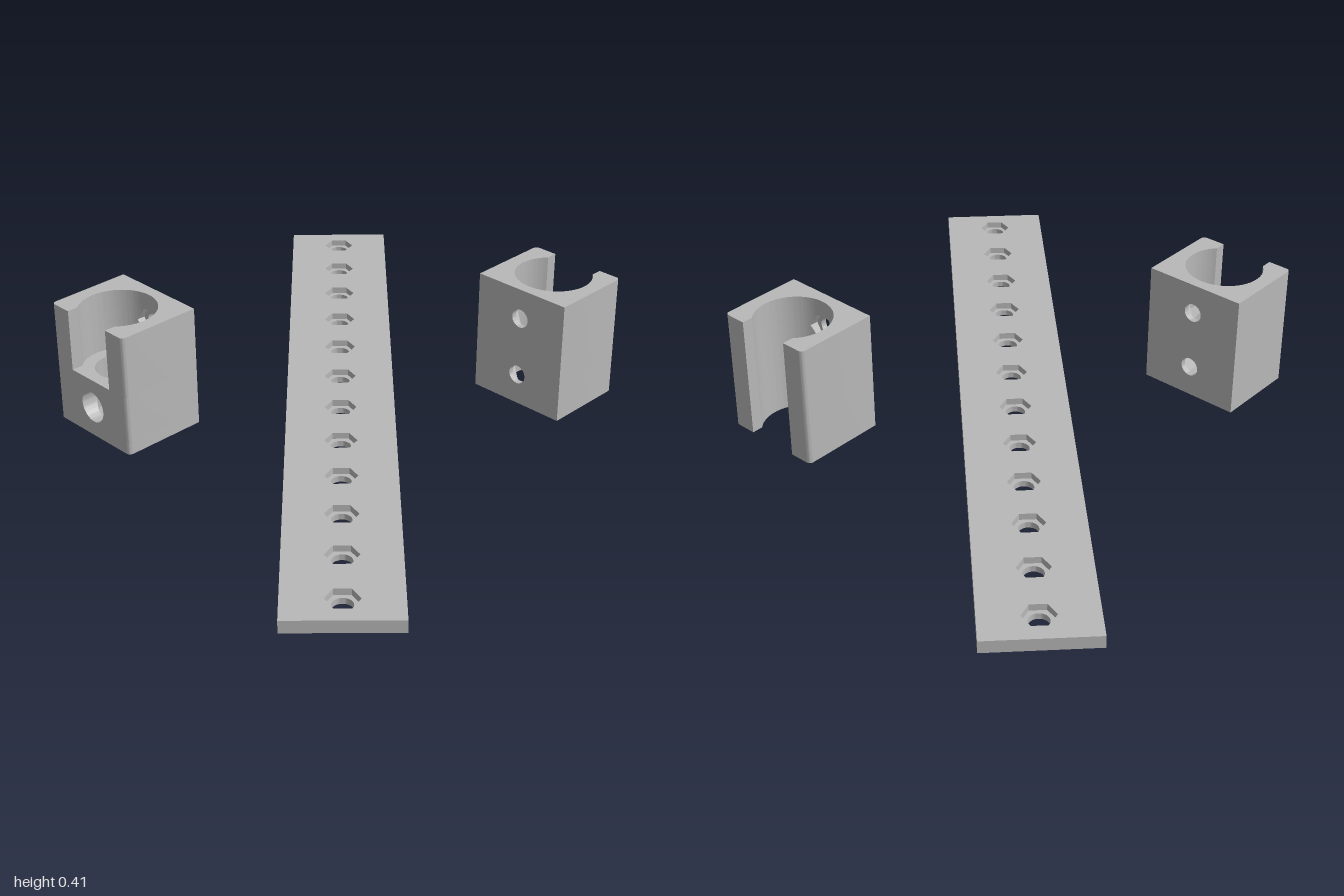
import * as THREE from 'three';
import { toCreasedNormals } from 'three/addons/utils/BufferGeometryUtils.js';

const grey = new THREE.MeshStandardMaterial({ color: 0xb8b8b8, side: THREE.DoubleSide });
grey.name = 'plain grey';

const BACK = -0.165, FRONT = 0.125, SIDE = 0.175, HEIGHT = 0.415;
const BAND = 0.06;      // half width of the strip that carries the screw holes
const HOLE = 0.032, HEX = 0.052, ACCESS = 0.053;
const BORE = 0.127, SOCKET = 0.085;

function add(parent, name, geometry) {
  const mesh = new THREE.Mesh(toCreasedNormals(geometry, 0.5), grey);
  mesh.name = name;
  parent.add(mesh);
  return mesh;
}

// Extrude a plan shape upward from y0 to y1
function upright(shape, y0, y1) {
  const g = new THREE.ExtrudeGeometry(shape, { depth: y1 - y0, bevelEnabled: false, curveSegments: 24 });
  return g.rotateX(-Math.PI / 2).translate(0, y0, 0);
}

function arc(r, a0, a1, n, cx = 0, cy = 0) {
  return Array.from({ length: n + 1 }, (_, i) => {
    const a = a0 + (a1 - a0) * i / n;
    return new THREE.Vector2(cx + r * Math.cos(a), cy + r * Math.sin(a));
  });
}

// One side of the clip: outer wall, rounded corner, lip and its share of the bore
function sideShape(R, gap, sign) {
  const c = 0.015;
  const pts = [
    new THREE.Vector2(BACK, BAND), new THREE.Vector2(BACK, SIDE),
    ...arc(c, Math.PI / 2, 0, 5, FRONT - c, SIDE - c),
    new THREE.Vector2(FRONT, gap),
    ...arc(R, Math.asin(gap / R), Math.PI - Math.asin(BAND / R), 32),
  ];
  return new THREE.Shape(pts.map(p => new THREE.Vector2(p.x, p.y * sign)));
}

// Radii of the ring outlines by angle
const circle = r => () => r;
const hexagon = r => a => {
  const s = Math.PI / 3, m = ((a % s) + s) % s;
  return r * Math.cos(s / 2) / Math.cos(m - s / 2);
};
const rect = (up, down) => a => {
  const c = Math.abs(Math.cos(a)), s = Math.sin(a);
  return Math.min(c > 1e-6 ? BAND / c : 9, Math.abs(s) > 1e-6 ? (s > 0 ? up : down) / Math.abs(s) : 9);
};
const mix = (f, g, t) => a => f(a) * (1 - t) + g(a) * t;

// Wall block pierced along x: closed loft through rings of [outline, x as a function of z]
function piercedWall(y0, y1, yc, makeRings) {
  const up = y1 - yc, down = yc - y0;
  const k1 = Math.atan2(up, BAND), k2 = Math.atan2(down, BAND);
  const angles = Array.from({ length: 48 }, (_, i) => i * Math.PI / 24)
    .concat([k1, Math.PI - k1, Math.PI + k2, 2 * Math.PI - k2]).sort((a, b) => a - b);
  const rings = makeRings(rect(up, down));
  const pos = [], idx = [], n = angles.length;
  for (const [radius, x] of rings) for (const a of angles) {
    const z = radius(a) * Math.cos(a);
    pos.push(x(z), yc + radius(a) * Math.sin(a), z);
  }
  for (let r = 0; r < rings.length; r++) for (let i = 0; i < n; i++) {
    const s = ((r + 1) % rings.length) * n, j = (i + 1) % n;
    const a = r * n + i, b = s + i, c = r * n + j, d = s + j;
    idx.push(a, b, c, b, d, c);
  }
  const g = new THREE.BufferGeometry();
  g.setAttribute('position', new THREE.Float32BufferAttribute(pos, 3));
  g.setIndex(idx);
  return g;
}

// Back wall with a screw hole and a hexagonal nut pocket opening into the bore
function nutWall(R, y0, y1, yc) {
  const bore = z => -Math.sqrt(R * R - z * z), seat = () => -0.145, back = () => BACK;
  return piercedWall(y0, y1, yc, outer => [
    ...[0, 0.25, 0.5, 0.75, 1].map(t => [mix(outer, hexagon(HEX), t), bore]),
    [hexagon(HEX), seat], [circle(HOLE), seat], [circle(HOLE), back], [outer, back],
  ]);
}

// Front wall with a round screwdriver hole
function accessWall(R, y0, y1, yc) {
  const bore = z => Math.sqrt(R * R - z * z), front = () => FRONT;
  return piercedWall(y0, y1, yc, outer => [
    [outer, front], [circle(ACCESS), front],
    ...[1, 0.75, 0.5, 0.25, 0].map(t => [mix(outer, circle(ACCESS), t), bore]),
  ]);
}

function sides(group, name, R, gap, y0, y1) {
  for (const s of [1, -1]) add(group, name, upright(sideShape(R, gap, s), y0, y1));
}

// Clip open through its full height
function openClip() {
  const g = new THREE.Group();
  g.name = 'openClip';
  sides(g, 'clipJaw', BORE, 0.0925, 0, HEIGHT);
  add(g, 'lowerNutWall', nutWall(BORE, 0, 0.2075, 0.105));
  add(g, 'upperNutWall', nutWall(BORE, 0.2075, HEIGHT, 0.312));
  return g;
}

// Clip with a stepped socket, closed at the bottom
function closedClip() {
  const g = new THREE.Group();
  g.name = 'closedClip';
  const base = 0.04, step = 0.205, c = 0.015;
  const plan = new THREE.Shape([
    new THREE.Vector2(BACK, -SIDE),
    ...arc(c, -Math.PI / 2, 0, 5, FRONT - c, c - SIDE),
    ...arc(c, 0, Math.PI / 2, 5, FRONT - c, SIDE - c),
    new THREE.Vector2(BACK, SIDE),
  ]);
  add(g, 'socketFloor', upright(plan, 0, base));
  sides(g, 'socketSide', SOCKET, BAND, base, step);
  add(g, 'lowerNutWall', nutWall(SOCKET, base, step, 0.105));
  add(g, 'accessWall', accessWall(SOCKET, base, step, 0.105));
  sides(g, 'clipJaw', BORE, 0.0925, step, HEIGHT);
  add(g, 'upperNutWall', nutWall(BORE, step, HEIGHT, 0.312));
  return g;
}

// Flat bar: round holes below, hexagonal nut pockets above
function mountingBar() {
  const g = new THREE.Group();
  g.name = 'mountingBar';
  const L = 2.475 / 2, W = 0.1765;
  const layer = outline => {
    const s = new THREE.Shape([[-L, -W], [L, -W], [L, W], [-L, W]].map(p => new THREE.Vector2(...p)));
    for (let i = 0; i < 12; i++) {
      s.holes.push(new THREE.Path(outline((i - 5.5) * 0.207)));
    }
    return s;
  };
  const round = x => arc(HOLE, 0, -Math.PI * 2 * 31 / 32, 31, x);
  const hex = x => arc(HEX, Math.PI / 2, Math.PI / 2 - Math.PI * 5 / 3, 5, x);
  add(g, 'barLowerLayer', upright(layer(round), 0, 0.02));
  add(g, 'barNutLayer', upright(layer(hex), 0.02, 0.042));
  return g;
}

export function createModel() {
  const model = new THREE.Group();
  model.name = 'clipMountSet';

  const bar = mountingBar();
  bar.rotation.y = Math.PI / 4;

  const open = openClip();
  open.position.set(0.575, 0, 0.412);

  const closed = closedClip();
  closed.rotation.y = Math.PI;
  closed.position.set(-0.58, 0, -0.412);

  model.add(bar, open, closed);
  return model;
}
